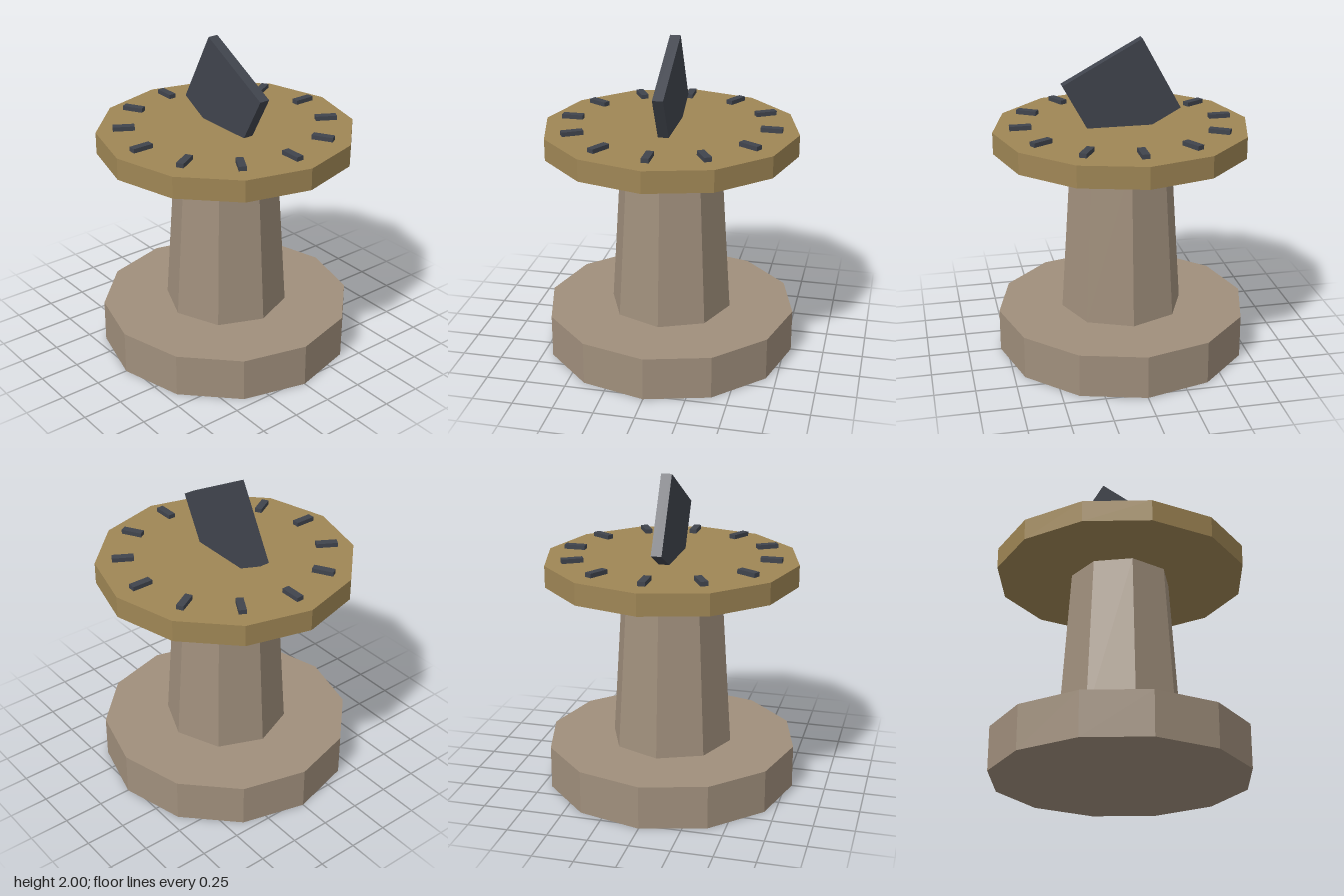
import * as THREE from 'three';

export function createModel() {
  const model = new THREE.Group();
  model.name = 'sundial';

  const material = (name, color) => {
    const m = new THREE.MeshStandardMaterial({ color, flatShading: true });
    m.name = name;
    return m;
  };
  const stone = material('stone', 0xa08f7c);
  const brass = material('brass', 0x9f8655);
  const iron = material('dark iron', 0x40444d);

  const add = (name, geometry, mat, x, y, z) => {
    const mesh = new THREE.Mesh(geometry, mat);
    mesh.name = name;
    mesh.position.set(x, y, z);
    model.add(mesh);
    return mesh;
  };
  // Faceted drum between two heights
  const drum = (name, rTop, rBottom, y0, y1, sides, mat) =>
    add(name, new THREE.CylinderGeometry(rTop, rBottom, y1 - y0, sides), mat, 0, (y0 + y1) / 2, 0);

  // Pedestal and dial plate
  drum('base', 0.792, 0.792, 0, 0.272, 12, stone);
  drum('column', 0.317, 0.386, 0.272, 1.325, 8, stone);
  drum('dialPlate', 0.792, 0.792, 1.325, 1.46, 12, brass);

  // Tilted shadow blade, sunk into the plate
  const blade = add('gnomon', new THREE.BoxGeometry(0.066, 0.505, 0.56), iron, 0, 1.645, 0);
  blade.rotation.x = 0.5;

  // Twelve radial hour marks, just clear of the plate
  const markGeometry = new THREE.BoxGeometry(0.132, 0.027, 0.046);
  for (let i = 0; i < 12; i++) {
    const a = (i / 12) * Math.PI * 2;
    const mark = add('hourMark' + (i + 1), markGeometry, iron,
      Math.cos(a) * 0.622, 1.484, -Math.sin(a) * 0.622);
    mark.rotation.y = a;
  }

  return model;
}
